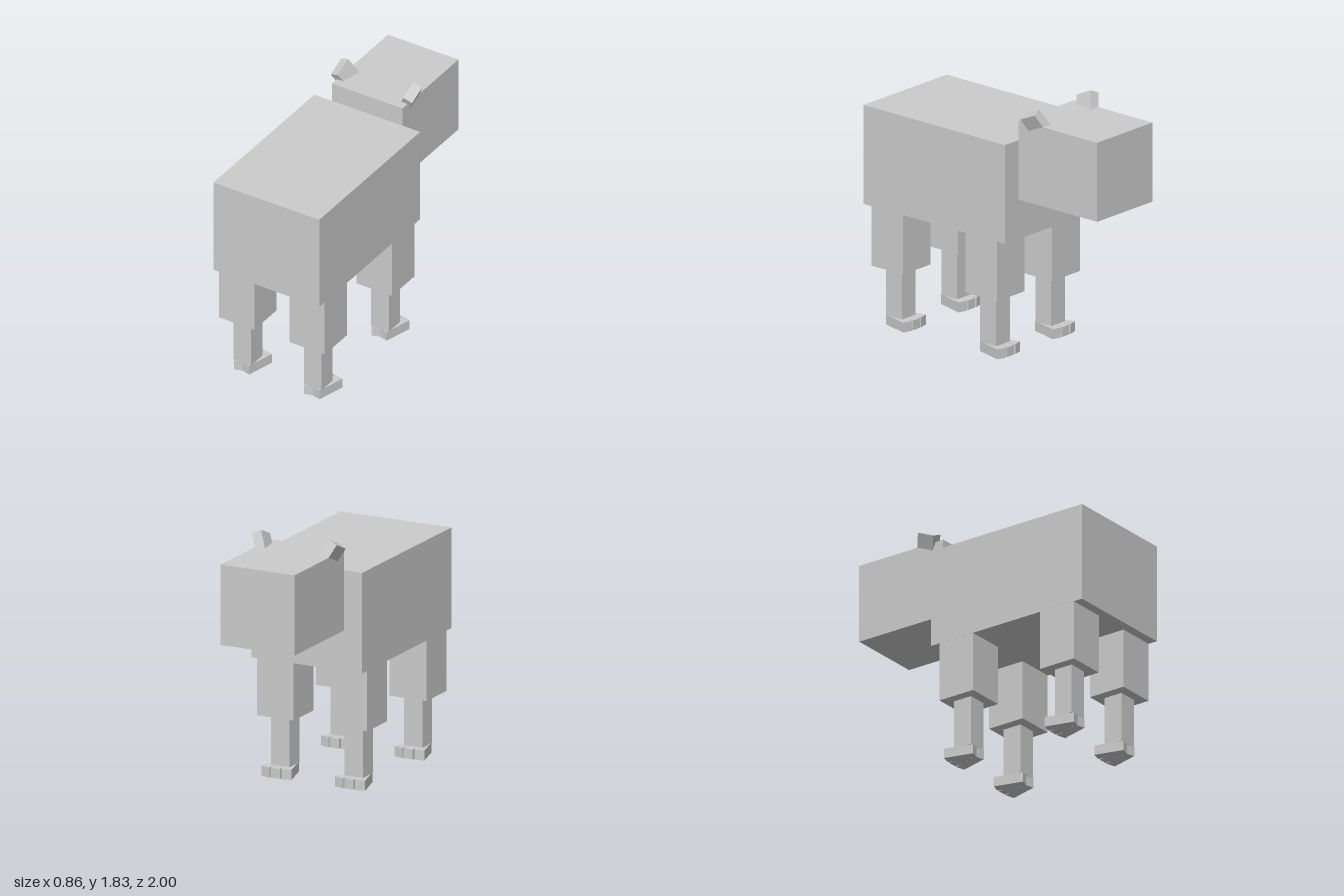
import * as THREE from 'three';

const material = new THREE.MeshStandardMaterial({ color: 0xcccccc, flatShading: true });

// Box given by its size and centre
function box(name, size, centre) {
  const mesh = new THREE.Mesh(new THREE.BoxGeometry(...size), material);
  mesh.name = name;
  mesh.position.set(...centre);
  return mesh;
}

// Three toes spreading towards -z, meeting under the ankle
function createFoot() {
  const foot = new THREE.Group();
  foot.name = 'foot';
  const spread = THREE.MathUtils.degToRad(15);
  foot.add(box('middleToe', [0.07, 0.07, 0.16], [0, 0.0355, -0.062]));
  for (const side of [-1, 1]) {
    const toe = box('outerToe', [0.0714, 0.0714, 0.2143], [side * 0.0545, 0.0357, -0.03]);
    toe.rotation.y = -side * spread;
    foot.add(toe);
  }
  return foot;
}

// Thick upper leg, thin lower leg and foot
function createLeg(name) {
  const leg = new THREE.Group();
  leg.name = name;
  leg.add(
    box('upperLeg', [0.286, 0.43, 0.286], [0, 0.645, 0]),
    box('lowerLeg', [0.143, 0.36, 0.143], [0, 0.25, 0]),
    createFoot()
  );
  return leg;
}

export function createModel() {
  const model = new THREE.Group();
  model.name = 'animal';

  model.add(box('body', [0.857, 0.714, 1.286], [0, 1.217, 0.357]));
  model.add(box('head', [0.571, 0.571, 0.714], [0, 1.43, -0.643]));

  for (const side of [-1, 1]) {
    const label = side > 0 ? 'left' : 'right';

    // Ears lean outwards and towards the body
    const ear = box(label + 'Ear', [0.0714, 0.143, 0.143], [side * 0.2665, 1.728, -0.424]);
    ear.rotation.set(0.42, 0, -side * 0.436);
    model.add(ear);

    // Legs on the head side and the tail side
    for (const [end, z] of [['HeadEnd', -0.07], ['TailEnd', 0.787]]) {
      const leg = createLeg(label + end + 'Leg');
      leg.position.set(side * 0.285, 0, z);
      model.add(leg);
    }
  }
  return model;
}
